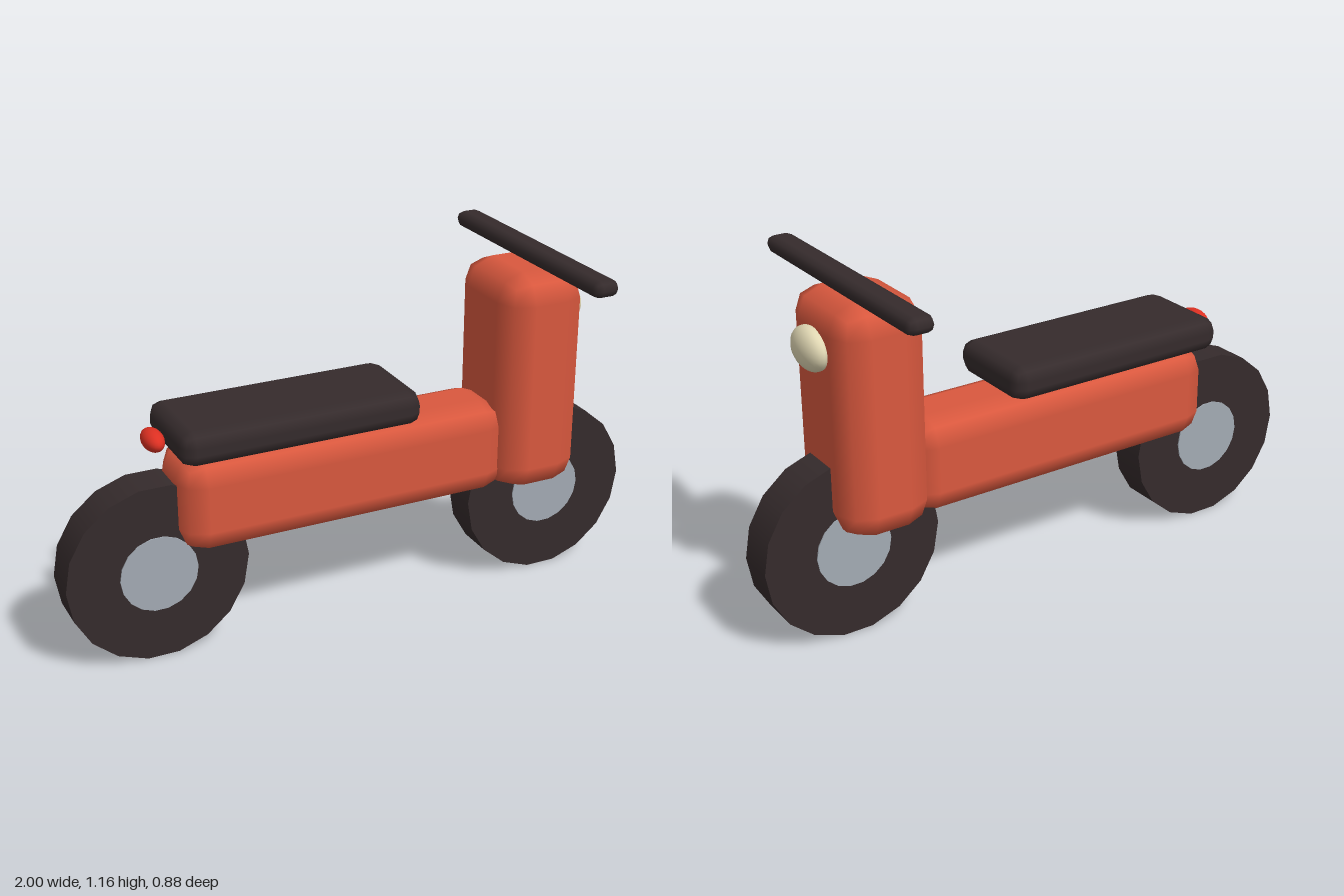
import * as THREE from 'three';
import { RoundedBoxGeometry } from 'three/addons/geometries/RoundedBoxGeometry.js';

function material(name, color) {
  const m = new THREE.MeshStandardMaterial({ color });
  m.name = name;
  return m;
}

export function createModel() {
  const red = material('red paint', 0xd9583e);
  const dark = material('dark rubber', 0x352b2c);
  const grey = material('hub grey', 0xa3abb4);
  const cream = material('lamp cream', 0xe0d7b3);
  const bright = material('tail light red', 0xdd3022);

  const scooter = new THREE.Group();
  scooter.name = 'scooter';

  function add(name, geometry, mat, x, y, z = 0, parent = scooter) {
    const mesh = new THREE.Mesh(geometry, mat);
    mesh.name = name;
    mesh.position.set(x, y, z);
    parent.add(mesh);
    return mesh;
  }

  // Box with softly bevelled edges, given by its extents in x and y and its width
  function softBox(name, mat, x0, x1, y0, y1, width, radius) {
    const geometry = new RoundedBoxGeometry(x1 - x0, y1 - y0, width, 1, radius);
    return add(name, geometry, mat, (x0 + x1) / 2, (y0 + y1) / 2);
  }

  // Disc lying in the xy plane, with flat facets at top and bottom
  function disc(radius, width) {
    return new THREE.CylinderGeometry(radius, radius, width, 18)
      .rotateX(Math.PI / 2)
      .rotateZ(Math.PI / 2);
  }

  // Wheels with a hub showing on both sides
  for (const [name, x] of [['rearWheel', -0.7], ['frontWheel', 0.7]]) {
    const wheel = new THREE.Group();
    wheel.name = name;
    wheel.position.set(x, 0.297, 0);
    add('tyre', disc(0.3, 0.13), dark, 0, 0, 0, wheel);
    add('hub', disc(0.128, 0.138), grey, 0, 0, 0, wheel);
    scooter.add(wheel);
  }

  // Body, front shield, seat and handlebar
  softBox('body', red, -0.635, 0.515, 0.35, 0.673, 0.274, 0.085);
  softBox('frontShield', red, 0.465, 0.765, 0.35, 1.107, 0.372, 0.093);
  softBox('seat', dark, -0.64, 0.17, 0.673, 0.788, 0.344, 0.045);
  softBox('handlebar', dark, 0.605, 0.695, 1.107, 1.163, 0.882, 0.027);

  // Lamps
  const ball = new THREE.SphereGeometry(1, 20, 14);
  add('headlight', ball, cream, 0.775, 0.954).scale.set(0.045, 0.068, 0.092);
  add('tailLight', ball, bright, -0.677, 0.723).scale.set(0.034, 0.034, 0.063);

  return scooter;
}
